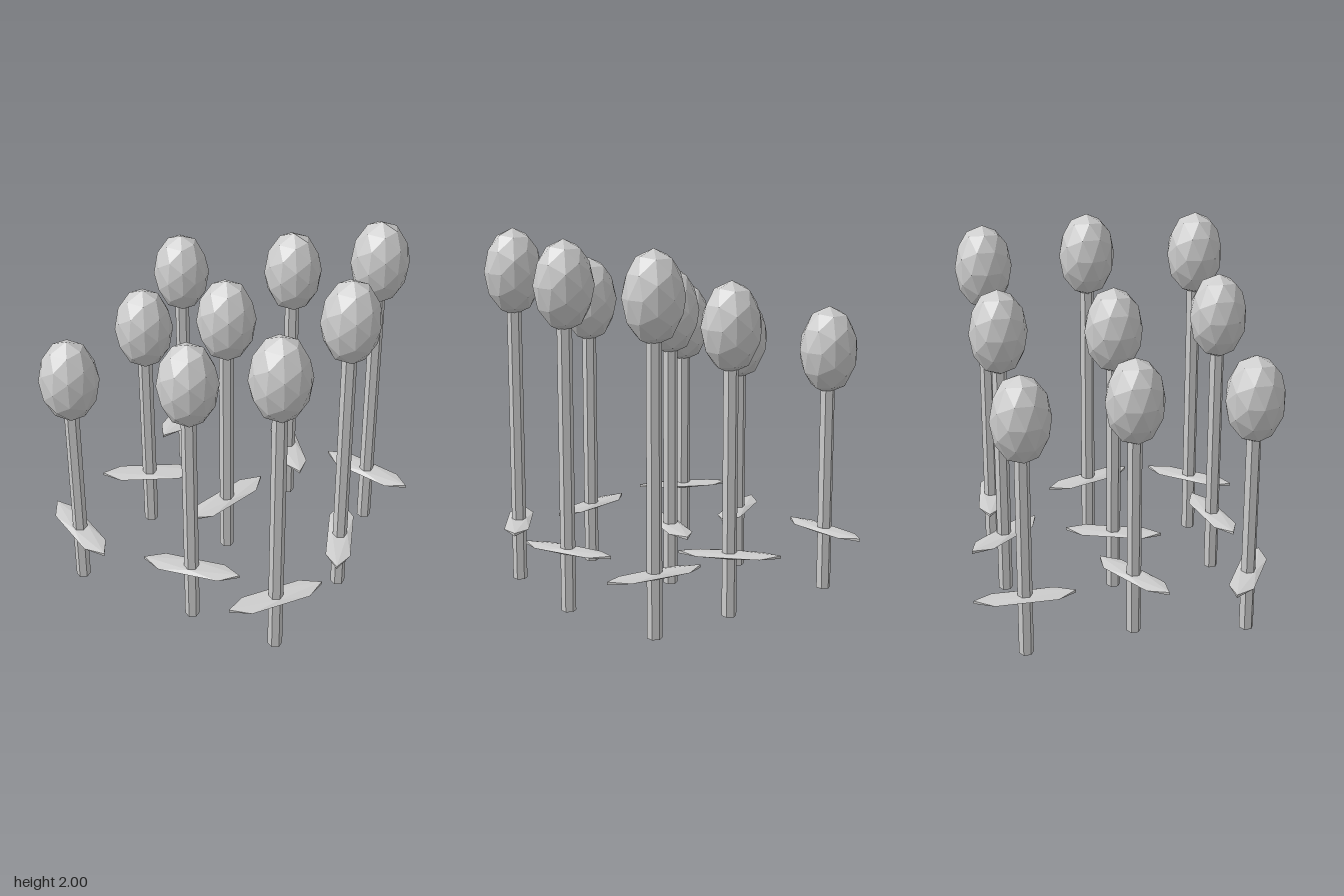
import * as THREE from 'three';

const grey = new THREE.MeshStandardMaterial({ color: 0xcccccc, flatShading: true });
grey.name = 'grey';

const PITCH = 0.61;      // spacing of the 3 x 3 planting grid
const JITTER = 0.05;     // sideways stagger of alternate plants
const LEAF_TURN = 0.7;   // each plant's leaf turns this much further

const headGeometry = new THREE.IcosahedronGeometry(0.16, 1).scale(1, 1.5, 1);
const leafGeometry = new THREE.IcosahedronGeometry(0.16, 0).scale(0.5, 0.1, 2);

function part(name, geometry, y) {
  const mesh = new THREE.Mesh(geometry, grey);
  mesh.name = name;
  mesh.position.y = y;
  return mesh;
}

// One plant: hexagonal stem, faceted egg-shaped bloom and a flat leaf across the stem
function createPlant(index, headY) {
  const plant = new THREE.Group();
  plant.name = `plant${index + 1}`;
  const stemHeight = headY - 0.16;
  plant.add(part('stem', new THREE.CylinderGeometry(0.04, 0.04, stemHeight, 6), stemHeight / 2));
  plant.add(part('bloom', headGeometry, headY));
  const leaf = part('leaf', leafGeometry, 0.34);
  leaf.rotation.y = index * LEAF_TURN;
  plant.add(leaf);
  return plant;
}

export function createModel() {
  const model = new THREE.Group();
  model.name = 'flowerBed';
  for (let row = 0; row < 3; row++) {
    for (let col = 0; col < 3; col++) {
      const index = row * 3 + col;
      const plant = createPlant(index, 1.355 + col * 0.2025);
      const stagger = index % 2 ? JITTER : -JITTER;
      plant.position.set((col - 1) * PITCH + 0.03 + stagger, 0, (row - 1) * PITCH + 0.03);
      model.add(plant);
    }
  }
  return model;
}
